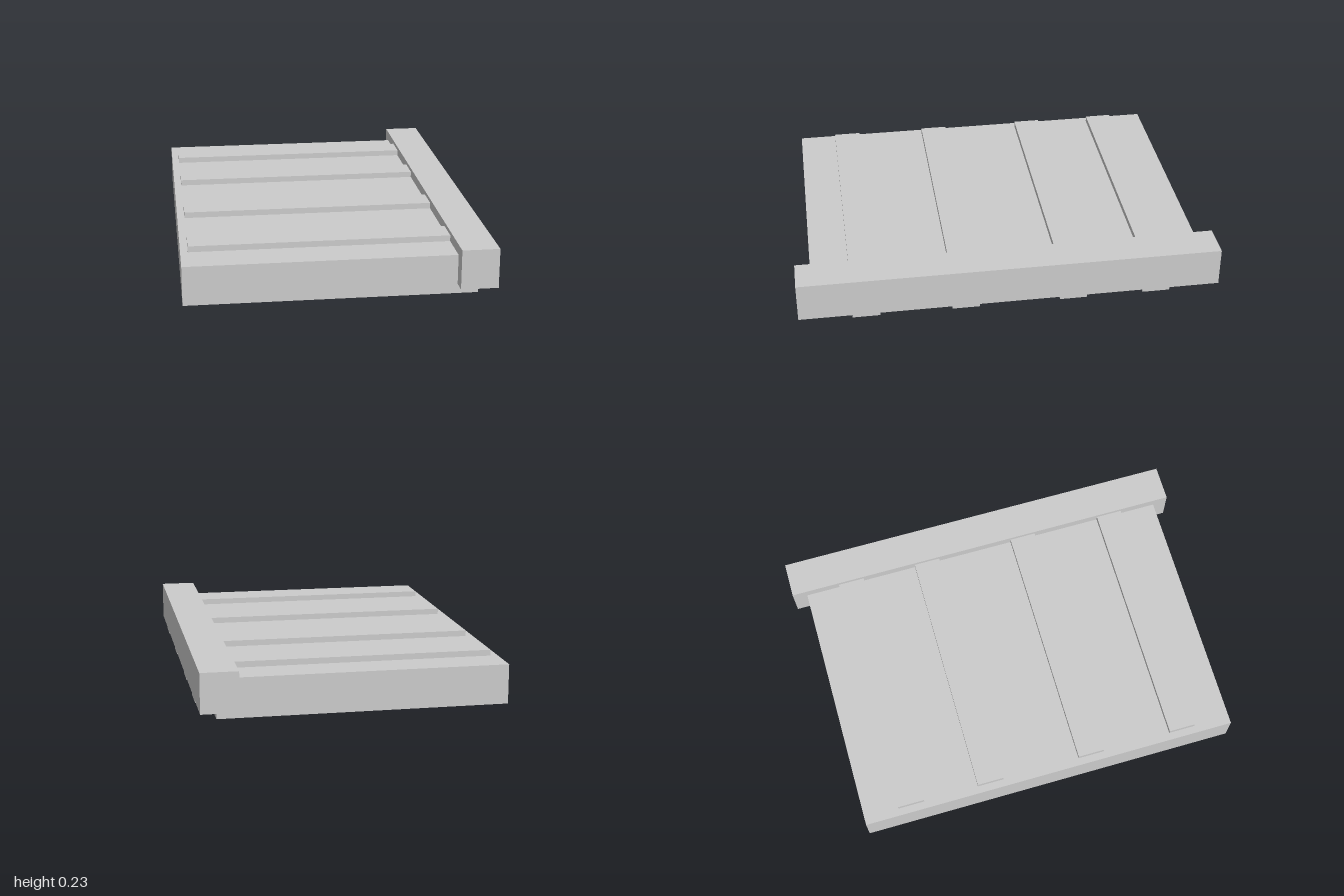
import * as THREE from 'three';

const material = new THREE.MeshStandardMaterial({ color: 0xcccccc, flatShading: true });

// Box given by its lower and upper limits on each axis
function block(name, [x0, x1], [y0, y1], [z0, z1]) {
  const mesh = new THREE.Mesh(new THREE.BoxGeometry(x1 - x0, y1 - y0, z1 - z0), material);
  mesh.position.set((x0 + x1) / 2, (y0 + y1) / 2, (z0 + z1) / 2);
  mesh.name = name;
  return mesh;
}

export function createModel() {
  const model = new THREE.Group();
  model.name = 'battenedPanel';

  // Main slab and the beam capping its left edge
  model.add(block('slab', [-0.708, 0.63], [0, 0.185], [-0.93, 0.93]));
  model.add(block('edgeBeam', [0.535, 0.708], [0.045, 0.232], [-1, 1]));

  // Battens lie on the slab, pass through the beam and hook down over the slab edge
  const profile = new THREE.Shape([
    [-0.673, 0.185], [0.63, 0.185], [0.63, 0.03],
    [0.706, 0.03], [0.706, 0.213], [-0.673, 0.213],
  ].map(([x, y]) => new THREE.Vector2(x, y)));
  const width = 0.13;
  const battenGeometry = new THREE.ExtrudeGeometry(profile, { depth: width, bevelEnabled: false });
  battenGeometry.translate(0, 0, -width / 2);
  [-0.695, -0.295, 0.217, 0.685].forEach((z, i) => {
    const batten = new THREE.Mesh(battenGeometry, material);
    batten.name = `batten${i + 1}`;
    batten.position.z = z;
    model.add(batten);
  });

  return model;
}
